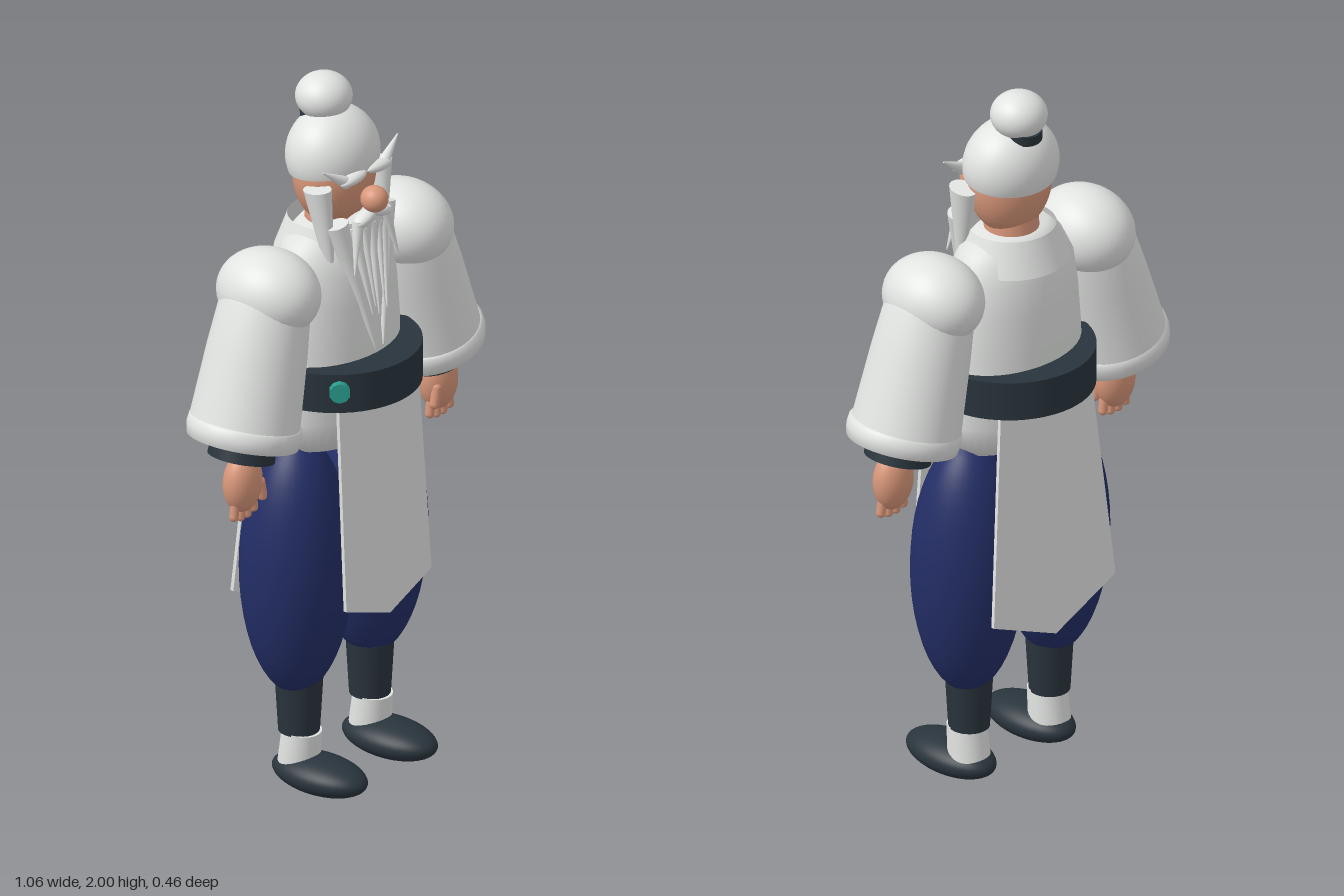
import * as THREE from 'three';

const mat = (name, color, side = THREE.FrontSide) => {
  const m = new THREE.MeshStandardMaterial({ color, side });
  m.name = name;
  return m;
};

export function createModel() {
  const root = new THREE.Group();
  root.name = 'elderMaster';
  const white = mat('white cloth and hair', 0xe2e4e2, THREE.DoubleSide);
  const skin = mat('skin', 0xd9977a);
  const navy = mat('navy trousers', 0x232e66);
  const dark = mat('dark slate', 0x29343c);
  const teal = mat('jade', 0x2a9d8f);

  const add = (name, geo, material, x = 0, y = 0, z = 0, parent = root) => {
    const m = new THREE.Mesh(geo, material);
    m.name = name;
    m.position.set(x, y, z);
    parent.add(m);
    return m;
  };
  const ellipsoid = (name, material, pos, r, parent = root) => {
    const m = add(name, new THREE.SphereGeometry(1, 36, 24), material, ...pos, parent);
    m.scale.set(...r);
    return m;
  };
  const lathe = (pts, seg = 40) =>
    new THREE.LatheGeometry(pts.map(([r, y]) => new THREE.Vector2(r, y)), seg);
  // Tapered lock of hair running from a wide root to a thin tip
  const lock = (name, a, b, r, tip = 0.002) => {
    const from = new THREE.Vector3(...a), to = new THREE.Vector3(...b);
    const dir = to.clone().sub(from);
    const mid = from.add(to).multiplyScalar(0.5);
    const m = add(name, new THREE.CylinderGeometry(tip, r, dir.length(), 14), white, mid.x, mid.y, mid.z);
    m.quaternion.setFromUnitVectors(new THREE.Vector3(0, 1, 0), dir.normalize());
    return m;
  };

  // Head, hair cap and top knot
  ellipsoid('head', skin, [0, 1.735, -0.003], [0.12, 0.15, 0.104]);
  add('neck', new THREE.CylinderGeometry(0.07, 0.08, 0.14, 24), skin, 0, 1.58, -0.01);
  const cap = add('hairCap', new THREE.SphereGeometry(1, 40, 20, 0, Math.PI * 2, 0, Math.PI * 0.59), white, 0, 1.785, -0.008);
  cap.scale.set(0.137, 0.13, 0.117);
  cap.rotation.x = -0.12;
  ellipsoid('topKnot', white, [0, 1.938, -0.038], [0.076, 0.064, 0.076]);
  const tie = add('knotTie', new THREE.CylinderGeometry(0.05, 0.053, 0.028, 28), dark, 0, 1.895, -0.054);
  tie.rotation.x = -0.2;
  ellipsoid('nose', skin, [0, 1.688, 0.133], [0.036, 0.036, 0.038]);

  // Beard core
  const core = add('beardCore', new THREE.CylinderGeometry(0.075, 0.004, 0.3, 24), white, 0, 1.485, 0.112);
  core.scale.z = 0.38;
  core.rotation.x = -0.05;
  lock('beardCentre', [0, 1.62, 0.12], [0, 1.36, 0.15], 0.015);

  for (const s of [-1, 1]) {
    // Eyebrows with an upswept tip
    const brow = ellipsoid('eyebrow', white, [s * 0.052, 1.757, 0.104], [0.05, 0.015, 0.02]);
    brow.rotation.z = s * -0.06;
    lock('eyebrowTip', [s * 0.075, 1.752, 0.1], [s * 0.155, 1.805, 0.085], 0.018);

    // Sideburns
    const burn = add('sideburn', new THREE.CylinderGeometry(0.042, 0.016, 0.21, 18), white, s * 0.117, 1.63, 0.055);
    burn.scale.x = 0.75;
    burn.rotation.set(-0.12, 0, s * -0.08);

    // Moustache and beard locks
    const tache = ellipsoid('moustache', white, [s * 0.032, 1.642, 0.125], [0.042, 0.016, 0.022]);
    tache.rotation.z = s * -0.3;
    lock('moustacheTail', [s * 0.055, 1.638, 0.122], [s * 0.09, 1.5, 0.14], 0.017);
    lock('outerBeardLock', [s * 0.098, 1.635, 0.085], [s * 0.016, 1.265, 0.15], 0.032);
    lock('middleBeardLock', [s * 0.06, 1.62, 0.11], [s * 0.03, 1.37, 0.152], 0.016);
    lock('innerBeardLock', [s * 0.03, 1.61, 0.12], [s * 0.018, 1.39, 0.152], 0.011);
  }

  // Robe body, collar and short skirt under the belt
  const torso = add('robe', lathe([[0.001, 1.6], [0.11, 1.6], [0.155, 1.56], [0.19, 1.49], [0.203, 1.4], [0.212, 1.28], [0.215, 1.15]]), white, 0, 0, -0.008);
  torso.scale.z = 0.7;
  const collar = add('collar', new THREE.CylinderGeometry(0.115, 0.15, 0.095, 36, 1, true, Math.PI * 0.3, Math.PI * 1.4), white, 0, 1.56, -0.012);
  collar.scale.x = 1.03;
  const skirt = add('robeSkirt', lathe([[0.205, 1.15], [0.203, 1.07], [0.19, 0.99], [0.001, 0.98]]), white);
  skirt.scale.z = 0.62;

  // Belt with a jade stud
  add('belt', new THREE.CylinderGeometry(0.23, 0.23, 0.11, 56), dark, 0, 1.19, 0);
  const stud = add('jadeStud', new THREE.CylinderGeometry(0.028, 0.028, 0.03, 10), teal, -0.175, 1.2, 0.158);
  stud.rotation.set(Math.PI / 2, 0, 0.835);

  // Hanging cloth panels with a pointed hem
  const panel = (name, top, bottom, side, tip, z, tilt) => {
    const shape = new THREE.Shape();
    shape.moveTo(-top, 0);
    shape.lineTo(-bottom, -side);
    shape.lineTo(0, -tip);
    shape.lineTo(bottom, -side);
    shape.lineTo(top, 0);
    const g = new THREE.ExtrudeGeometry(shape, { depth: 0.01, bevelEnabled: false });
    add(name, g, white, 0, 1.14, z).rotation.x = tilt;
  };
  panel('frontPanel', 0.165, 0.176, 0.575, 0.64, 0.138, -0.06);
  panel('backPanel', 0.165, 0.222, 0.6, 0.695, -0.14, 0.055);

  for (const s of [-1, 1]) {
    // Leg: baggy trousers, gaiter, sock and slipper
    ellipsoid('trouserLeg', navy, [s * 0.155, 0.645, -0.005], [0.155, 0.37, 0.148]);
    add('gaiter', new THREE.CylinderGeometry(0.064, 0.055, 0.155, 28), dark, s * 0.147, 0.24, -0.002);
    const sock = add('sock', new THREE.CylinderGeometry(0.053, 0.057, 0.1, 28), white, s * 0.147, 0.118, 0.003);
    sock.rotation.x = 0.1;
    ellipsoid('slipper', dark, [s * 0.145, 0.053, 0.067], [0.083, 0.05, 0.148]);

    // Arm: rounded shoulder and flared sleeve with a rolled rim
    ellipsoid('shoulder', white, [s * 0.275, 1.48, 0], [0.123, 0.118, 0.148]);
    const arm = new THREE.Group();
    arm.name = 'arm';
    arm.position.set(s * 0.283, 1.475, 0);
    arm.rotation.z = s * 0.265;
    root.add(arm);
    const sleeve = add('sleeve', lathe([[0.06, 0.06], [0.1, 0.04], [0.118, -0.02], [0.13, -0.15], [0.143, -0.345]]), white, 0, 0, 0, arm);
    sleeve.scale.z = 1.04;
    add('sleeveRim', lathe([[0.141, -0.342], [0.151, -0.347], [0.154, -0.37], [0.149, -0.398], [0.135, -0.4], [0.128, -0.37], [0.09, -0.3], [0.001, -0.29]]), white, 0, 0, 0.003, arm);
    add('innerCuff', new THREE.CylinderGeometry(0.08, 0.09, 0.14, 32), dark, 0, -0.373, 0.008, arm);

    // Hand with fingers and thumb
    const hand = ellipsoid('hand', skin, [s * 0.405, 0.982, 0.018], [0.06, 0.085, 0.047]);
    hand.rotation.z = s * 0.05;
    for (let i = 0; i < 4; i++) {
      const f = add('finger', new THREE.CapsuleGeometry(0.013, 0.04, 4, 10), skin, s * (0.368 + i * 0.025), 0.915 - (i % 3 ? 0.008 : 0), 0.022);
      f.rotation.z = s * (i - 1.5) * 0.1;
    }
    const thumb = add('thumb', new THREE.CapsuleGeometry(0.014, 0.045, 4, 10), skin, s * 0.362, 0.955, 0.045);
    thumb.rotation.z = s * -0.2;
  }
  return root;
}
